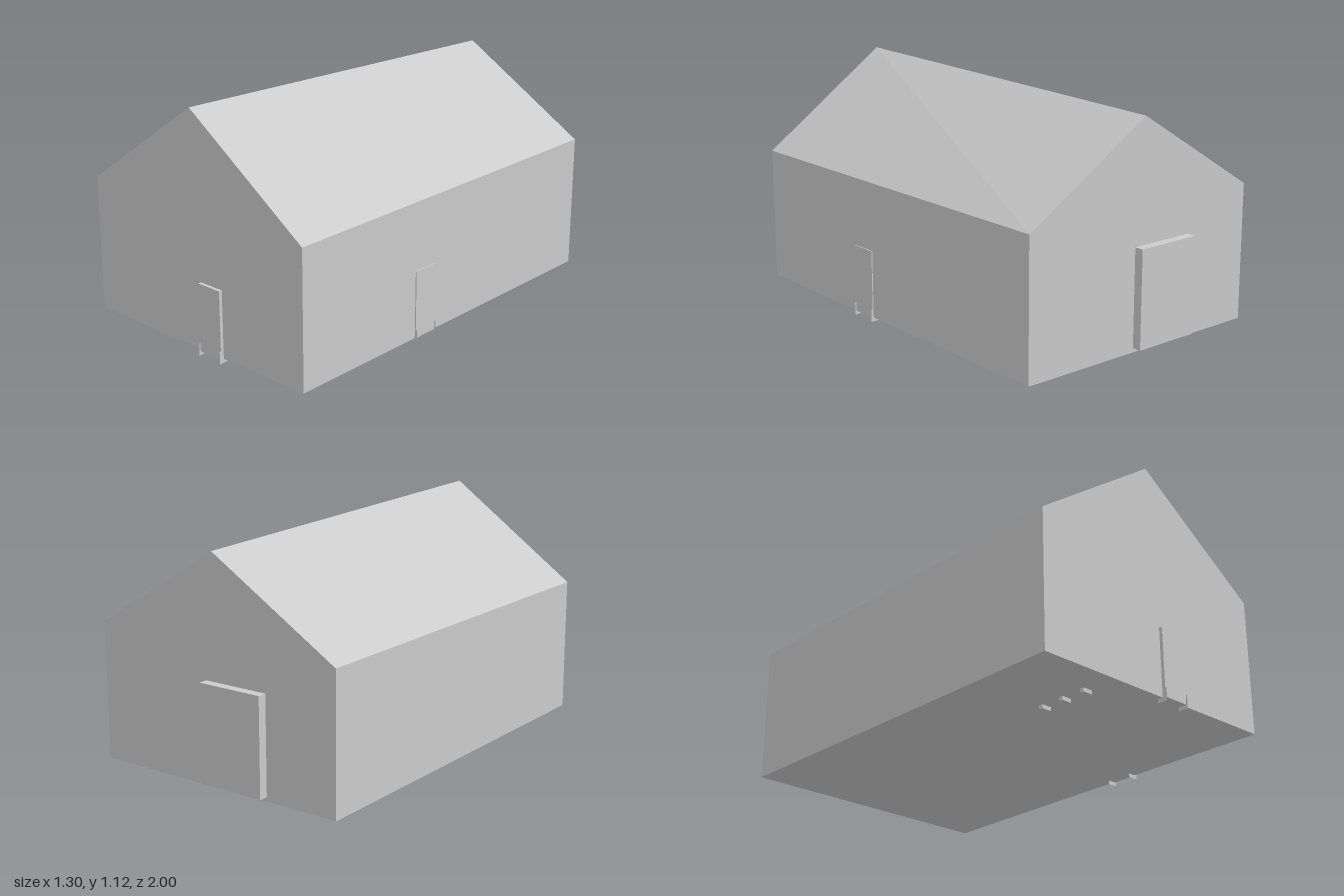
import * as THREE from 'three';

const grey = new THREE.MeshStandardMaterial({ color: 0xcccccc, flatShading: true });
const thin = new THREE.MeshStandardMaterial({ color: 0xcccccc, flatShading: true, side: THREE.DoubleSide });

const X0 = -0.652, X1 = 0.638, XR = -0.007; // side walls and ridge line
const Z0 = -0.957, Z1 = 0.977;              // back and front walls
const FLOOR = 0.02, EAVE = 0.665;

// Box given by its minimum and maximum corners
function box(parent, name, [x0, y0, z0], [x1, y1, z1]) {
  const mesh = new THREE.Mesh(new THREE.BoxGeometry(x1 - x0, y1 - y0, z1 - z0), grey);
  mesh.name = name;
  mesh.position.set((x0 + x1) / 2, (y0 + y1) / 2, (z0 + z1) / 2);
  parent.add(mesh);
}

// Thin upright bracket, 0.05 deep and 0.06 high
function bracket(parent, x, z, turn) {
  const mesh = new THREE.Mesh(new THREE.PlaneGeometry(0.05, 0.06), thin);
  mesh.name = 'doorBracket';
  mesh.position.set(x, 0.032, z);
  mesh.rotation.y = turn;
  parent.add(mesh);
}

// Gabled roof whose ridge drops towards the back
function makeRoof() {
  const points = [
    [X0, EAVE, Z1], [X1, EAVE, Z1], [XR, 1.118, Z1],
    [X0, EAVE, Z0], [X1, EAVE, Z0], [XR, 1.06, Z0],
  ];
  const geometry = new THREE.BufferGeometry();
  geometry.setAttribute('position', new THREE.Float32BufferAttribute(points.flat(), 3));
  geometry.setIndex([
    0, 1, 2, 4, 3, 5, // gables
    1, 4, 2, 4, 5, 2, // left slope
    3, 0, 2, 3, 2, 5, // right slope
  ]);
  const flat = geometry.toNonIndexed();
  flat.computeVertexNormals();
  const roof = new THREE.Mesh(flat, grey);
  roof.name = 'roof';
  return roof;
}

export function createModel() {
  const model = new THREE.Group();
  model.name = 'barn';

  // Main body
  box(model, 'walls', [X0, FLOOR, Z0], [X1, EAVE, Z1]);
  model.add(makeRoof());

  // Doors standing slightly proud of the walls
  box(model, 'frontDoor', [0.03, FLOOR, Z1 - 0.01], [0.16, 0.342, 0.993]);
  box(model, 'sideDoor', [X1 - 0.01, FLOOR, 0.13], [0.643, 0.342, 0.262]);
  box(model, 'backDoor', [-0.288, 0.04, Z0 - 0.043], [0.037, 0.495, Z0 + 0.01]);

  // Brackets at the foot of the two small doors
  for (const x of [0.03, 0.16]) bracket(model, x, 0.975, Math.PI / 2);
  for (const z of [0.13, 0.262]) bracket(model, 0.625, z, 0);

  // Row of small feet under the floor
  for (const z of [0.58, 0.7, 0.82])
    box(model, 'foot', [-0.29, 0.002, z - 0.01], [-0.24, FLOOR, z + 0.01]);

  return model;
}
